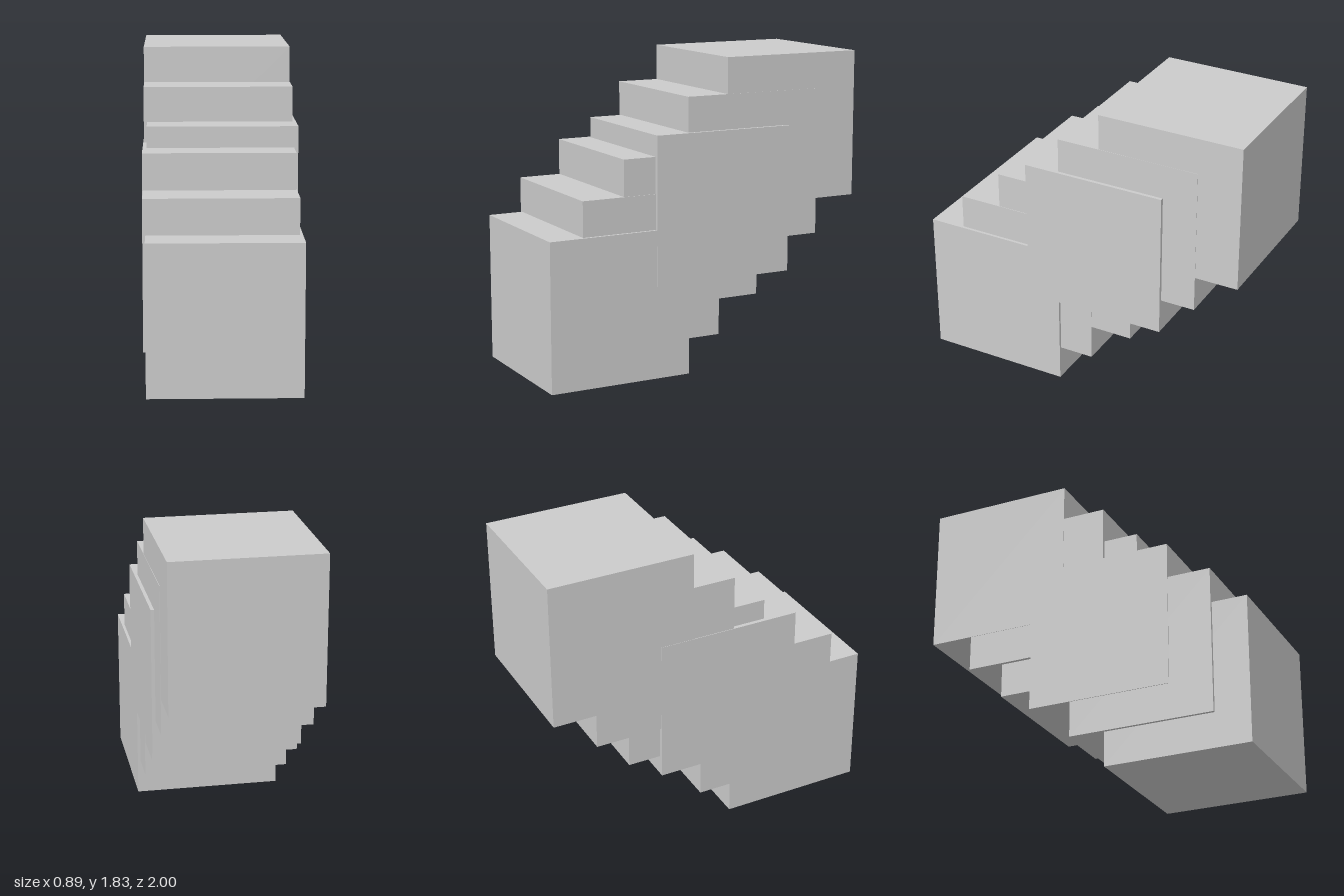
import * as THREE from 'three';

// A diagonal stack of equal, overlapping cubes, each slightly shifted sideways.
export function createModel() {
  const group = new THREE.Group();
  group.name = 'steppedBlocks';
  const material = new THREE.MeshStandardMaterial({ color: 0xcccccc, flatShading: true });
  const size = 0.869;
  const geometry = new THREE.BoxGeometry(size, size, size);

  // Centre x, bottom y and front z of each cube, lowest to highest
  const steps = [
    [0.008, 0, 1],
    [-0.009, 0.206, 0.791],
    [-0.013, 0.418, 0.534],
    [0.011, 0.541, 0.335],
    [-0.009, 0.745, 0.128],
    [-0.011, 0.956, -0.131],
  ];
  steps.forEach(([x, bottom, front], i) => {
    const block = new THREE.Mesh(geometry, material);
    block.name = `block${i + 1}`;
    block.position.set(x, bottom + size / 2, front - size / 2);
    group.add(block);
  });
  return group;
}
